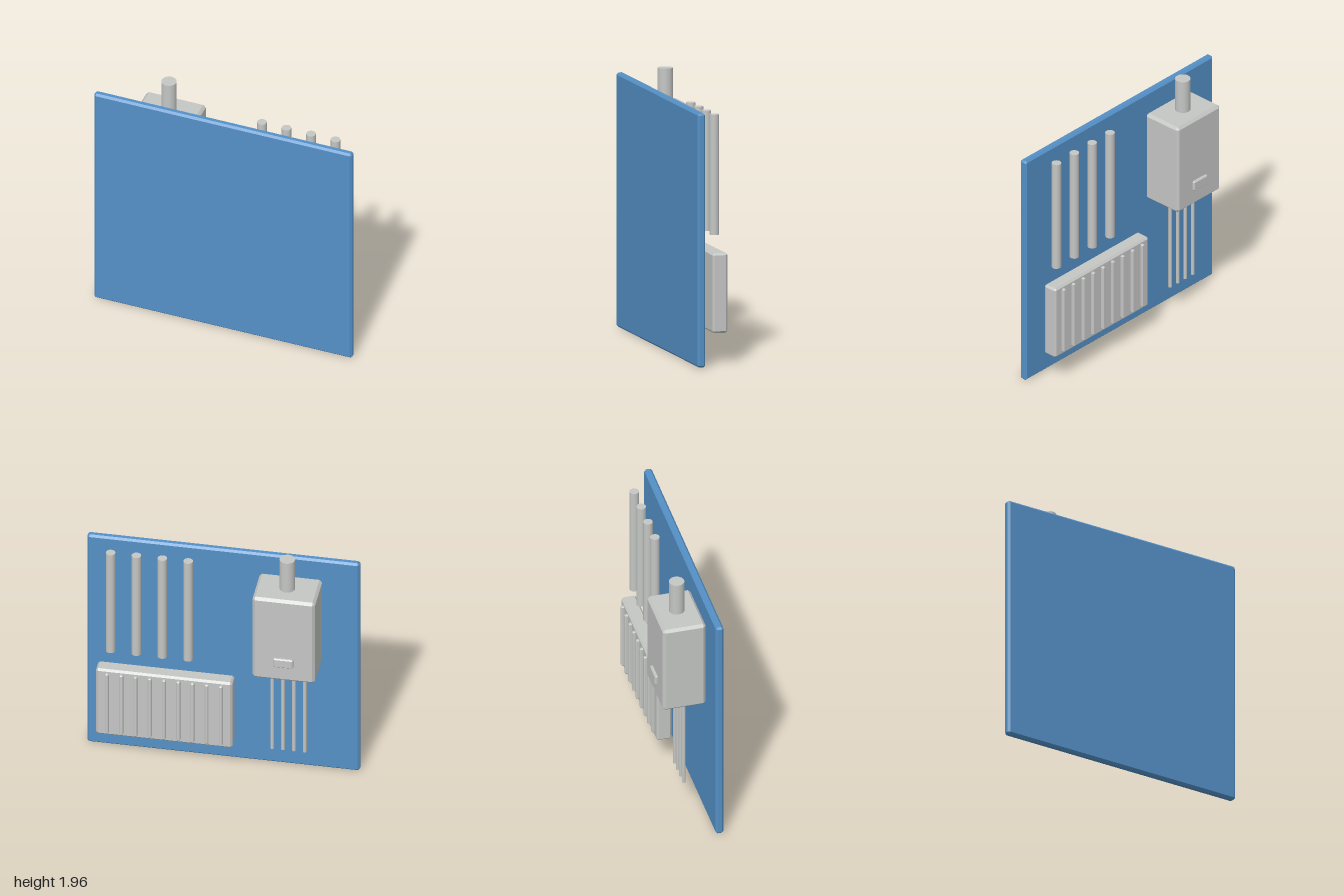
import * as THREE from 'three';
import { ConvexGeometry } from 'three/addons/geometries/ConvexGeometry.js';

const blue = new THREE.MeshStandardMaterial({ color: 0x5490c6 });
blue.name = 'wall blue';
const grey = new THREE.MeshStandardMaterial({ color: 0xc4c6c4 });
grey.name = 'metal grey';

// Box between two corners with every edge chamfered by c
function chamferBox(name, min, max, c, material) {
  const centre = min.map((v, i) => (v + max[i]) / 2);
  const half = min.map((v, i) => (max[i] - v) / 2);
  const points = [];
  for (const sx of [-1, 1]) for (const sy of [-1, 1]) for (const sz of [-1, 1]) {
    for (let axis = 0; axis < 3; axis++) {
      const p = [sx, sy, sz].map((s, i) => s * (half[i] - (i === axis ? 0 : c)));
      points.push(new THREE.Vector3(...p));
    }
  }
  const mesh = new THREE.Mesh(new ConvexGeometry(points), material);
  mesh.position.set(...centre);
  mesh.name = name;
  return mesh;
}

// Upright pipe from y0 to y1
function pipe(name, x, z, r, y0, y1, sides) {
  const mesh = new THREE.Mesh(new THREE.CylinderGeometry(r, r, y1 - y0, sides), grey);
  mesh.position.set(x, (y0 + y1) / 2, z);
  mesh.name = name;
  return mesh;
}

export function createModel() {
  const model = new THREE.Group();
  model.name = 'heatingWall';

  model.add(chamferBox('wallPanel', [-1, 0, 0.142], [1, 1.86, 0.2], 0.015, blue));

  // Boiler with flue, display and thin connecting pipes
  const boiler = new THREE.Group();
  boiler.name = 'boiler';
  boiler.add(chamferBox('boilerBody', [-0.73, 0.98, -0.18], [-0.27, 1.7, 0.142], 0.02, grey));
  boiler.add(chamferBox('display', [-0.573, 1.11, -0.2], [-0.427, 1.185, -0.17], 0.008, grey));
  boiler.add(pipe('flue', -0.5, -0.018, 0.056, 1.69, 1.96, 24));
  for (let i = 0; i < 4; i++) {
    boiler.add(pipe('boilerPipe', -0.625 + i * 0.08, 0, 0.014, 0.235, 0.99, 12));
  }
  model.add(boiler);

  // Radiator with a row of fins
  const radiator = new THREE.Group();
  radiator.name = 'radiator';
  radiator.add(chamferBox('radiatorBody', [-0.1, 0.23, -0.057], [0.9, 0.815, 0.055], 0.015, grey));
  for (let i = 0; i < 9; i++) {
    const x = -0.02 + i * 0.1045;
    radiator.add(chamferBox('fin', [x - 0.014, 0.26, -0.079], [x + 0.014, 0.79, -0.05], 0.007, grey));
  }
  model.add(radiator);

  // Tall pipes above the radiator
  for (let i = 0; i < 4; i++) {
    model.add(pipe('tallPipe', 0.235 + i * 0.19, 0.018, 0.035, 0.94, 1.82, 16));
  }
  return model;
}
